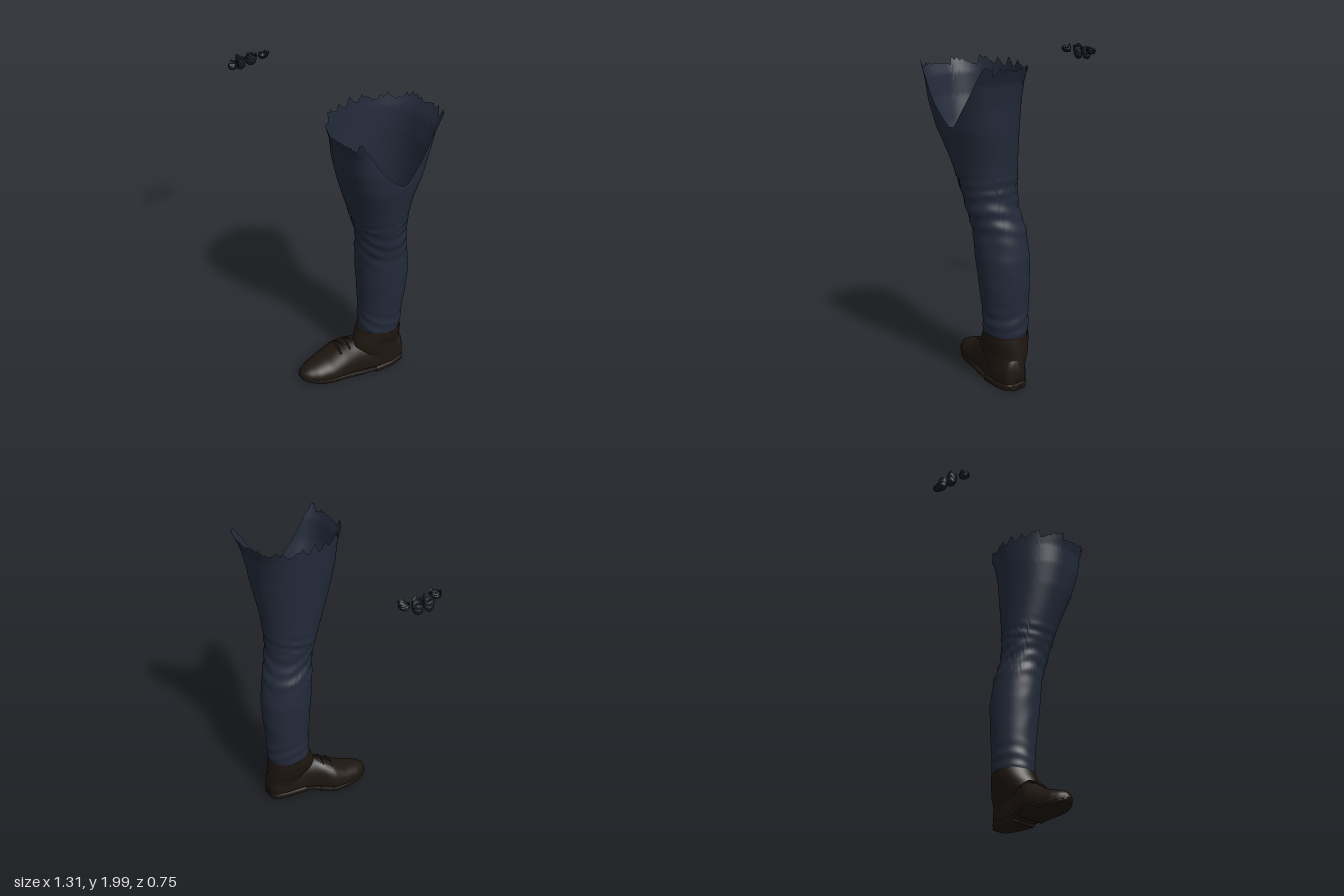
import * as THREE from 'three';

const cloth = new THREE.MeshStandardMaterial({ color: 0x232a3a, side: THREE.DoubleSide });
const gloveCloth = new THREE.MeshStandardMaterial({ color: 0x161a24, side: THREE.DoubleSide });
const leather = new THREE.MeshStandardMaterial({ color: 0x1e1610, side: THREE.DoubleSide });

// signed power, for rounded-square sections
const spow = (v, e) => Math.sign(v) * Math.abs(v) ** e;
const bump = (y, c, w) => Math.exp(-(((y - c) / w) ** 2));
const hash = (n) => { const s = Math.sin(n * 127.1 + 11.7) * 43758.5453; return s - Math.floor(s); };

// look up a row of a table keyed by its first column
function sample(table, k) {
  let i = 0;
  while (i < table.length - 2 && table[i + 1][0] < k) i++;
  const a = table[i], b = table[i + 1];
  const t = THREE.MathUtils.clamp((k - a[0]) / (b[0] - a[0]), 0, 1);
  return a.map((v, n) => v + (b[n] - v) * t);
}

// skin of closed rings; point(v, angle) returns [x, y, z]
function loft(name, material, rows, cols, point) {
  const pos = [], index = [];
  for (let i = 0; i <= rows; i++)
    for (let j = 0; j < cols; j++) pos.push(...point(i / rows, (j / cols) * Math.PI * 2, j));
  for (let i = 0; i < rows; i++)
    for (let j = 0; j < cols; j++) {
      const a = i * cols + j, b = i * cols + ((j + 1) % cols);
      index.push(a, b, a + cols, b, b + cols, a + cols);
    }
  const geo = new THREE.BufferGeometry();
  geo.setAttribute('position', new THREE.Float32BufferAttribute(pos, 3));
  geo.setIndex(index);
  geo.computeVertexNormals();
  const mesh = new THREE.Mesh(geo, material);
  mesh.name = name;
  return mesh;
}

// y, x min, x max, z back, z front
const LEG = [
  [0.32, 0.215, 0.455, -0.305, -0.03], [0.36, 0.205, 0.465, -0.315, -0.02],
  [0.5, 0.2, 0.475, -0.315, -0.02], [0.65, 0.192, 0.495, -0.327, -0.008],
  [0.82, 0.188, 0.51, -0.33, 0.01], [1.0, 0.2, 0.515, -0.303, 0.025],
  [1.1, 0.222, 0.54, -0.27, 0.035], [1.2, 0.22, 0.555, -0.255, 0.06],
  [1.3, 0.213, 0.575, -0.26, 0.095], [1.4, 0.207, 0.595, -0.265, 0.13],
  [1.6, 0.195, 0.64, -0.29, 0.2], [1.75, 0.182, 0.648, -0.302, 0.235],
  [1.88, 0.174, 0.646, -0.325, 0.25], [1.98, 0.17, 0.652, -0.375, 0.285],
];

// trouser leg: torn rim with a deep notch on the outer side
function trouserLeg() {
  return loft('trouserLeg', cloth, 130, 96, (v, ang, j) => {
    const th = ang > Math.PI ? ang - Math.PI * 2 : ang;
    const jag = 1.92 + 0.075 * hash(Math.floor(j / 2)) * (j % 2 ? 1 : 0.6);
    const spike = 0.05 * bump(Math.abs(th), 0.8, 0.12);
    const rim = Math.min(jag + spike, 1.985, 1.61 + 0.3 * Math.abs(th - 0.03) / 0.56);
    const y = 0.32 + v * (rim - 0.32);
    const [, x0, x1, z0, z1] = sample(LEG, y);
    const c = Math.cos(th), s = Math.sin(th);
    const e = c > 0 ? 1 - 0.6 * THREE.MathUtils.smoothstep(y, 1.3, 1.95) : 1;
    // folds around the knee and ankle, and a cross seam
    const fold =
      0.03 * bump(y, 1.1, 0.13) * Math.sin(y * 62 + 3 * s + 2 * Math.cos(2 * th + 1)) +
      0.022 * bump(y, 1.27, 0.06) * Math.sin(y * 90 - 2.5 * s) +
      0.025 * bump(y, 0.42, 0.09) * Math.sin(y * 70 + 4 * c + 2 * s) +
      0.008 * bump(y, 0.75, 0.25) * Math.sin(y * 30 + 4 * th * Math.sign(s)) * Math.abs(s) -
      0.025 * bump(y, 1.295, 0.008) * (s > 0 ? s : 0);
    const k = 1 + fold;
    return [
      (x0 + x1) / 2 + ((x1 - x0) / 2) * spow(c, e) * k, y,
      (z0 + z1) / 2 - ((z1 - z0) / 2) * spow(s, e) * k,
    ];
  });
}

// z, centre x, half width, top y, bottom y
const FOOT = [
  [-0.328, 0.36, 0.0, 0.12, 0.1], [-0.322, 0.36, 0.045, 0.19, 0.03],
  [-0.29, 0.36, 0.08, 0.21, 0.025], [-0.2, 0.355, 0.097, 0.22, 0.025],
  [-0.09, 0.34, 0.1, 0.24, 0.03], [0.0, 0.3, 0.112, 0.25, 0.03],
  [0.05, 0.272, 0.12, 0.232, 0.025], [0.1, 0.25, 0.125, 0.205, 0.02],
  [0.2, 0.235, 0.116, 0.145, 0.015], [0.29, 0.224, 0.092, 0.117, 0.018],
  [0.34, 0.218, 0.063, 0.1, 0.022], [0.368, 0.215, 0.034, 0.082, 0.028],
  [0.378, 0.214, 0, 0.055, 0.05],
];

function footUpper() {
  return loft('shoeUpper', leather, 60, 40, (v, a) => {
    const z = -0.328 + 0.706 * v;
    const [, cx, hw, top, bot] = sample(FOOT, z);
    const c = Math.cos(a), s = Math.sin(a);
    const mid = bot + (top - bot) * 0.28;
    const y = s > 0 ? mid + (top - mid) * s ** 0.9 : mid - (mid - bot) * Math.abs(s) ** 0.5;
    return [cx + hw * spow(c, s > 0 ? 0.95 : 0.6), y, z];
  });
}

// flat slab following the foot outline between two z values
function soleSlab(name, za, zb, low, high, grow) {
  return loft(name, leather, 40, 24, (v, a) => {
    const z = za + (zb - za) * v;
    const [, cx, hw] = sample(FOOT, z);
    const end = v === 0 || v === 1 ? 0 : 1;
    const toe = 0.022 * THREE.MathUtils.smoothstep(z, 0.24, 0.38);
    const mid = (low + high) / 2;
    return [
      cx + (hw + grow) * spow(Math.cos(a), 0.3) * end,
      mid + toe + ((high - low) / 2) * spow(Math.sin(a), 0.3) * end, z,
    ];
  });
}

// y, x min, x max, z back, z front
const SHAFT = [
  [0.08, 0.265, 0.452, -0.323, -0.05], [0.16, 0.245, 0.45, -0.326, 0.0],
  [0.21, 0.223, 0.449, -0.324, 0.025], [0.25, 0.216, 0.452, -0.318, 0.012],
  [0.3, 0.204, 0.464, -0.312, -0.015], [0.345, 0.2, 0.468, -0.31, -0.03],
];

function shoeShaft(name, y0, y1, grow) {
  return loft(name, leather, 14, 40, (v, a) => {
    const yr = y0 + (y1 - y0) * v;
    const [, xa, xb, za, zb] = sample(SHAFT, yr);
    const c = Math.cos(a), s = Math.sin(a);
    const g = grow * Math.sin(Math.PI * Math.min(1, 0.12 + v * 0.8));
    return [(xa + xb) / 2 + ((xb - xa) / 2 + g) * c, yr - 0.012 * s, (za + zb) / 2 - ((zb - za) / 2 + g) * s];
  });
}

// laces crossing the instep
function laces() {
  const group = new THREE.Group();
  group.name = 'laces';
  for (let i = 0; i < 4; i++) {
    const z = 0.025 + i * 0.028;
    const [, cx, hw, top, bot] = sample(FOOT, z);
    const mid = bot + (top - bot) * 0.28;
    const pts = [-0.5, -0.25, 0, 0.25, 0.5].map((t) => new THREE.Vector3(
      cx + hw * t, mid + (top - mid) * Math.sqrt(1 - t * t) + 0.003, z + t * 0.02 * (i % 2 ? 1 : -1)));
    const lace = new THREE.Mesh(new THREE.TubeGeometry(new THREE.CatmullRomCurve3(pts), 12, 0.006, 6), leather);
    lace.name = 'lace';
    group.add(lace);
  }
  return group;
}

// glove fingertip: rounded below, ragged and open above
function fingertip(x, z, bottom, seed) {
  return loft('gloveFingertip', gloveCloth, 12, 18, (v, a, j) => {
    const top = 1.95 + 0.035 * hash(j + seed * 31);
    const y = bottom + (top - bottom) * v;
    const r = 0.029 * Math.sqrt(1 - (1 - Math.min(1, v * 1.6)) ** 2) * (1 + 0.08 * Math.sin(v * 20 + 2 * a));
    return [x - 0.012 * (1 - v) + r * Math.cos(a), y, z - r * 1.1 * Math.sin(a)];
  });
}

export function createModel() {
  const model = new THREE.Group();
  model.name = 'legAndFingertips';
  const shoe = new THREE.Group();
  shoe.name = 'shoe';
  shoe.add(
    footUpper(), shoeShaft('shoeShaft', 0.08, 0.345, 0), shoeShaft('ankleCollar', 0.205, 0.335, 0.005),
    soleSlab('sole', -0.33, 0.38, 0.018, 0.04, 0.004), soleSlab('frontSole', -0.01, 0.36, 0.004, 0.03, 0.001),
    soleSlab('heel', -0.325, -0.075, 0, 0.045, 0.002), laces());
  model.add(trouserLeg(), shoe);
  const tips = new THREE.Group();
  tips.name = 'fingertips';
  [[-0.598, 0.042, 1.925], [-0.627, 0.113, 1.885], [-0.627, 0.188, 1.88], [-0.593, 0.262, 1.92]]
    .forEach(([x, z, b], i) => tips.add(fingertip(x, z, b, i + 1)));
  model.add(tips);
  return model;
}
